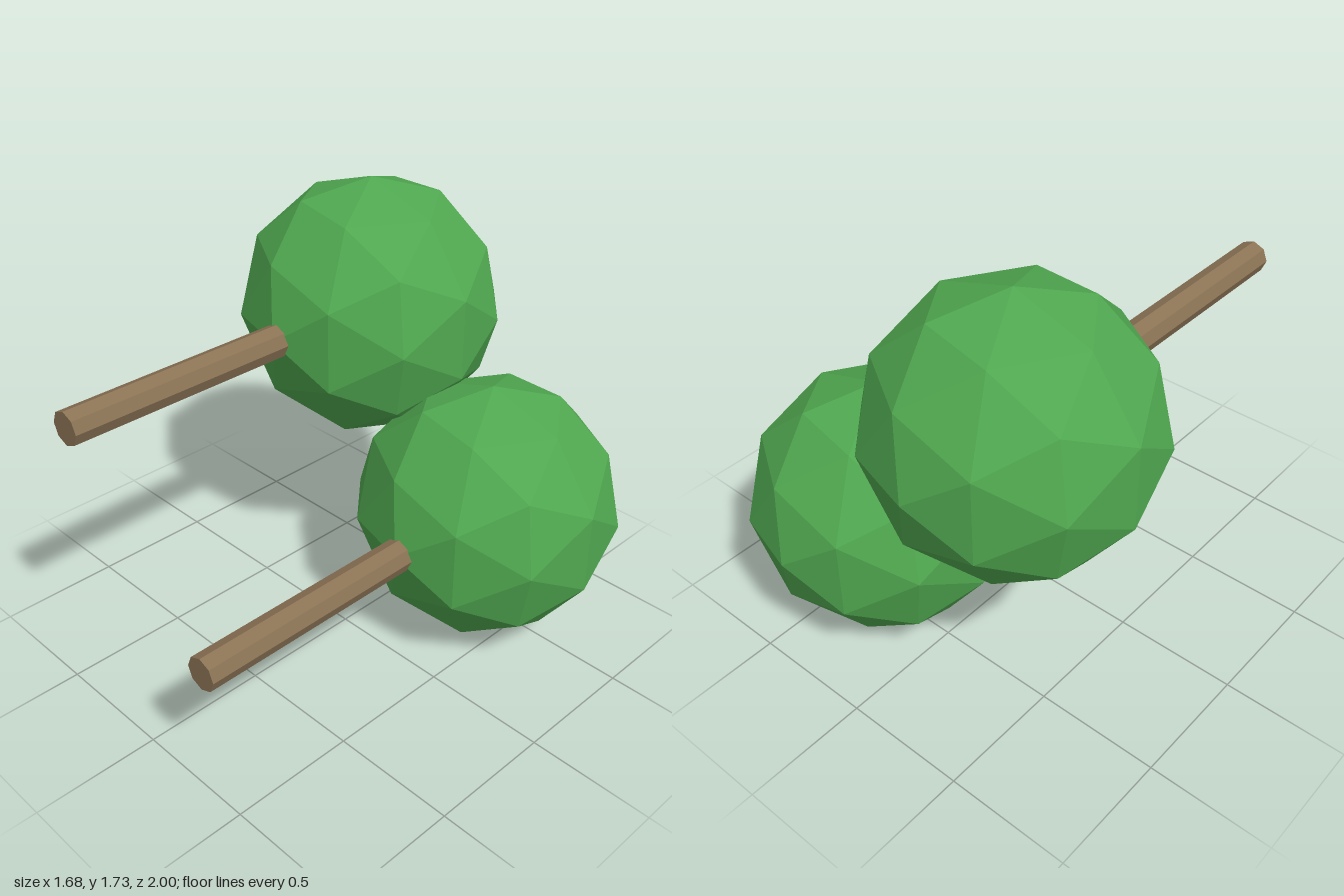
import * as THREE from 'three';

const leafGreen = new THREE.MeshStandardMaterial({ color: 0x50a850 });
leafGreen.name = 'leaf green';
const barkBrown = new THREE.MeshStandardMaterial({ color: 0x8b7355 });
barkBrown.name = 'bark brown';

const CROWN_RADIUS = 0.533;
const CROWN_Z = -0.467;

// Give every face its own normal so the facets stay flat
function faceted(geometry) {
  const flat = geometry.index ? geometry.toNonIndexed() : geometry;
  flat.computeVertexNormals();
  return flat;
}

// Low-poly ball with one corner pointing along the trunk
function crownGeometry() {
  const g = new THREE.IcosahedronGeometry(CROWN_RADIUS, 1);
  g.rotateX(Math.atan(2 / (1 + Math.sqrt(5))));
  g.rotateZ(-Math.PI / 2);
  return faceted(g);
}

// Eight-sided trunk lying along z, from inside the crown to z = 1
function trunkGeometry() {
  const start = -0.2, end = 1;
  const g = new THREE.CylinderGeometry(0.0667, 0.0667, end - start, 8);
  g.rotateX(Math.PI / 2);
  g.translate(0, 0, (start + end) / 2);
  return faceted(g);
}

export function createModel() {
  const model = new THREE.Group();
  model.name = 'treePair';
  const crownShape = crownGeometry();
  const trunkShape = trunkGeometry();

  // Two identical trees lying on their sides, one higher than the other
  const trees = [
    ['upperTree', -0.333, 1.2],
    ['lowerTree', 0.333, 0.533],
  ];
  for (const [name, x, y] of trees) {
    const tree = new THREE.Group();
    tree.name = name;
    tree.position.set(x, y, 0);

    const crown = new THREE.Mesh(crownShape, leafGreen);
    crown.name = 'crown';
    crown.position.z = CROWN_Z;

    const trunk = new THREE.Mesh(trunkShape, barkBrown);
    trunk.name = 'trunk';

    tree.add(crown, trunk);
    model.add(tree);
  }
  return model;
}
